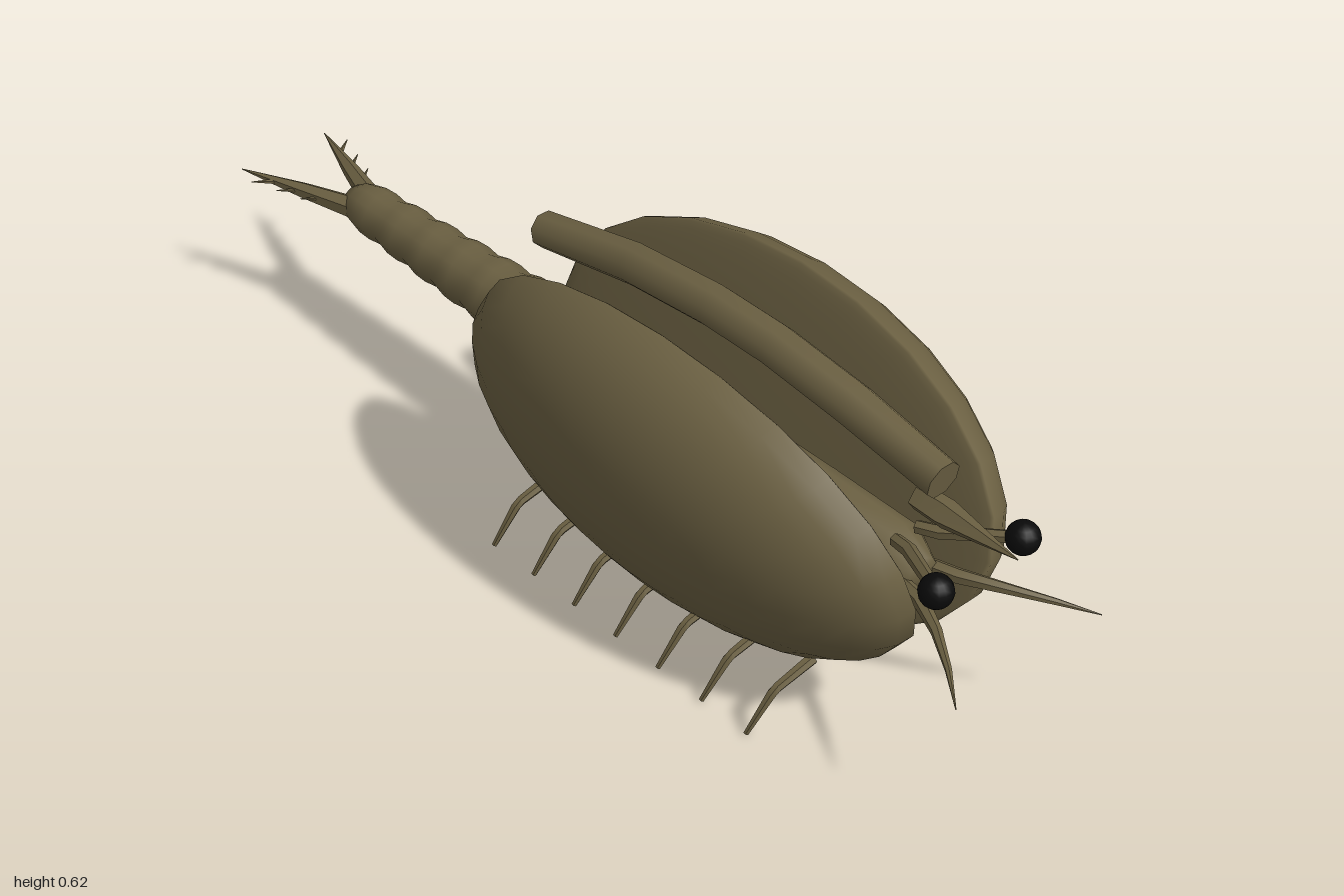
import * as THREE from 'three';
import { mergeVertices, toCreasedNormals } from 'three/addons/utils/BufferGeometryUtils.js';

const V = (x, y, z) => new THREE.Vector3(x, y, z);
const UP = V(0, 1, 0), FORWARD = V(0, 0, 1);

// Capped round limb through a few points, with one radius per point
function loft(points, radii, sides = 6, ref = UP, crease = 0.9) {
  const pos = [], index = [], n = points.length;
  points.forEach((p, i) => {
    const t = points[Math.min(i + 1, n - 1)].clone().sub(points[Math.max(i - 1, 0)]).normalize();
    const u = ref.clone().cross(t).normalize(), v = t.clone().cross(u);
    for (let j = 0; j < sides; j++) {
      const a = (j + 0.5) / sides * Math.PI * 2;
      const q = p.clone().addScaledVector(u, Math.cos(a) * radii[i]).addScaledVector(v, Math.sin(a) * radii[i]);
      pos.push(q.x, q.y, q.z);
    }
  });
  const first = n * sides, last = first + 1;
  for (const p of [points[0], points[n - 1]]) pos.push(p.x, p.y, p.z);
  for (let j = 0; j < sides; j++) {
    const k = (j + 1) % sides, e = (n - 1) * sides;
    for (let i = 0; i < n - 1; i++) {
      const a = i * sides + j, b = i * sides + k;
      index.push(a, b, a + sides, b, b + sides, a + sides);
    }
    index.push(first, k, j, last, e + j, e + k);
  }
  const g = new THREE.BufferGeometry();
  g.setAttribute('position', new THREE.Float32BufferAttribute(pos, 3));
  g.setIndex(index);
  return toCreasedNormals(g, crease);
}

// Half shell: deep dome outside, almost flat inside, leaning outward at the top
function shellGeometry(side) {
  let g = new THREE.SphereGeometry(1, 24, 20);
  g.deleteAttribute('uv');
  g.deleteAttribute('normal');
  g = mergeVertices(g, 1e-4);
  const p = g.attributes.position;
  for (let i = 0; i < p.count; i++) {
    const y = p.getY(i);
    p.setXYZ(i, p.getX(i) * 0.3, y * (y > 0 ? 0.2 : 0.02), p.getZ(i) * 0.53);
  }
  g.rotateZ(-side * 104.2 * Math.PI / 180);
  g.translate(side * 0.087, 0.33, 0.29);
  g.computeVertexNormals();
  return g;
}

export function createModel() {
  const model = new THREE.Group();
  const olive = new THREE.MeshStandardMaterial({ color: 0x6b6042 });
  olive.name = 'olive shell';
  const black = new THREE.MeshStandardMaterial({ color: 0x0a0a0a });
  black.name = 'eye black';
  const add = (name, geometry, material = olive, parent = model) => {
    const mesh = new THREE.Mesh(geometry, material);
    mesh.name = name;
    parent.add(mesh);
    return mesh;
  };

  // Body between the shells
  add('body', loft([V(0, 0.309, -0.16), V(0, 0.309, -0.1), V(0, 0.309, 0.1), V(0, 0.309, 0.5),
    V(0, 0.309, 0.69), V(0, 0.309, 0.75)], [0.05, 0.066, 0.069, 0.069, 0.066, 0.035], 12, UP, 1.2));

  // Segmented tail, each ring bulging a little
  const tail = [V(0, 0.309, -0.09)], tailR = [0.045], rings = 7;
  for (let i = 0; i < rings; i++) {
    for (const [f, bulge] of [[0, 0], [0.35, 0.005], [0.7, 0.005]]) {
      const k = (i + f) / rings;
      tail.push(V(0, 0.309 - 0.004 * k, -0.11 - 0.62 * k));
      tailR.push(0.069 - 0.026 * k + bulge);
    }
  }
  tail.push(V(0, 0.305, -0.735), V(0, 0.305, -0.76));
  tailR.push(0.042, 0.028);
  add('tail', loft(tail, tailR, 12, UP, 1.2));

  // Arched rod along the back
  add('backRidge', loft([V(0, 0.525, 0.78), V(0, 0.56, 0.58), V(0, 0.58, 0.4), V(0, 0.582, 0.25),
    V(0, 0.565, 0.05), V(0, 0.517, -0.19)], [0.036, 0.039, 0.039, 0.039, 0.038, 0.034], 8));

  // Pointed beak at the front
  add('rostrum', loft([V(0, 0.463, 0.73), V(0, 0.463, 0.79), V(0, 0.465, 0.945)], [0.024, 0.026, 0.001], 5));

  for (const s of [1, -1]) {
    const side = s > 0 ? 'left' : 'right';
    add(side + 'Shell', shellGeometry(s));

    // Stalked eyes
    add(side + 'EyeStalk', loft([V(s * 0.025, 0.375, 0.71), V(s * 0.035, 0.383, 0.75), V(s * 0.1, 0.41, 0.87)],
      [0.012, 0.013, 0.011]));
    const eye = add(side + 'Eye', new THREE.SphereGeometry(0.03, 14, 10), black);
    eye.position.set(s * 0.1, 0.41, 0.87);

    // Curved feelers
    add(side + 'Antenna', loft([V(s * 0.03, 0.305, 0.72), V(s * 0.045, 0.31, 0.79), V(s * 0.08, 0.309, 0.86),
      V(s * 0.125, 0.3, 0.93), V(s * 0.17, 0.285, 0.99)], [0.014, 0.014, 0.01, 0.006, 0.001]));

    // Seven bent legs
    const legs = new THREE.Group();
    legs.name = side + 'Legs';
    model.add(legs);
    for (let i = 0; i < 7; i++) {
      const z = 0.63 - i * 0.11;
      add('leg', loft([V(s * 0.12, 0.123, z), V(s * 0.195, 0.1, z - 0.005), V(s * 0.205, 0.09, z - 0.008),
        V(s * 0.238, 0.004, z - 0.032)], [0.011, 0.009, 0.009, 0.005], 6, FORWARD), olive, legs);
    }

    // Tail fork with small outer spines
    const fork = new THREE.Group();
    fork.name = side + 'TailFork';
    model.add(fork);
    const root = V(s * 0.02, 0.305, -0.73), tip = V(s * 0.1, 0.303, -0.99);
    add('prong', loft([root, root.clone().lerp(tip, 0.45), tip], [0.023, 0.016, 0.001]), olive, fork);
    for (const k of [0.25, 0.46, 0.68]) {
      const a = root.clone().lerp(tip, k);
      add('spine', loft([a, a.clone().add(V(s * 0.042, 0.002, -0.03))], [0.006, 0.0008], 5), olive, fork);
    }
  }
  return model;
}
